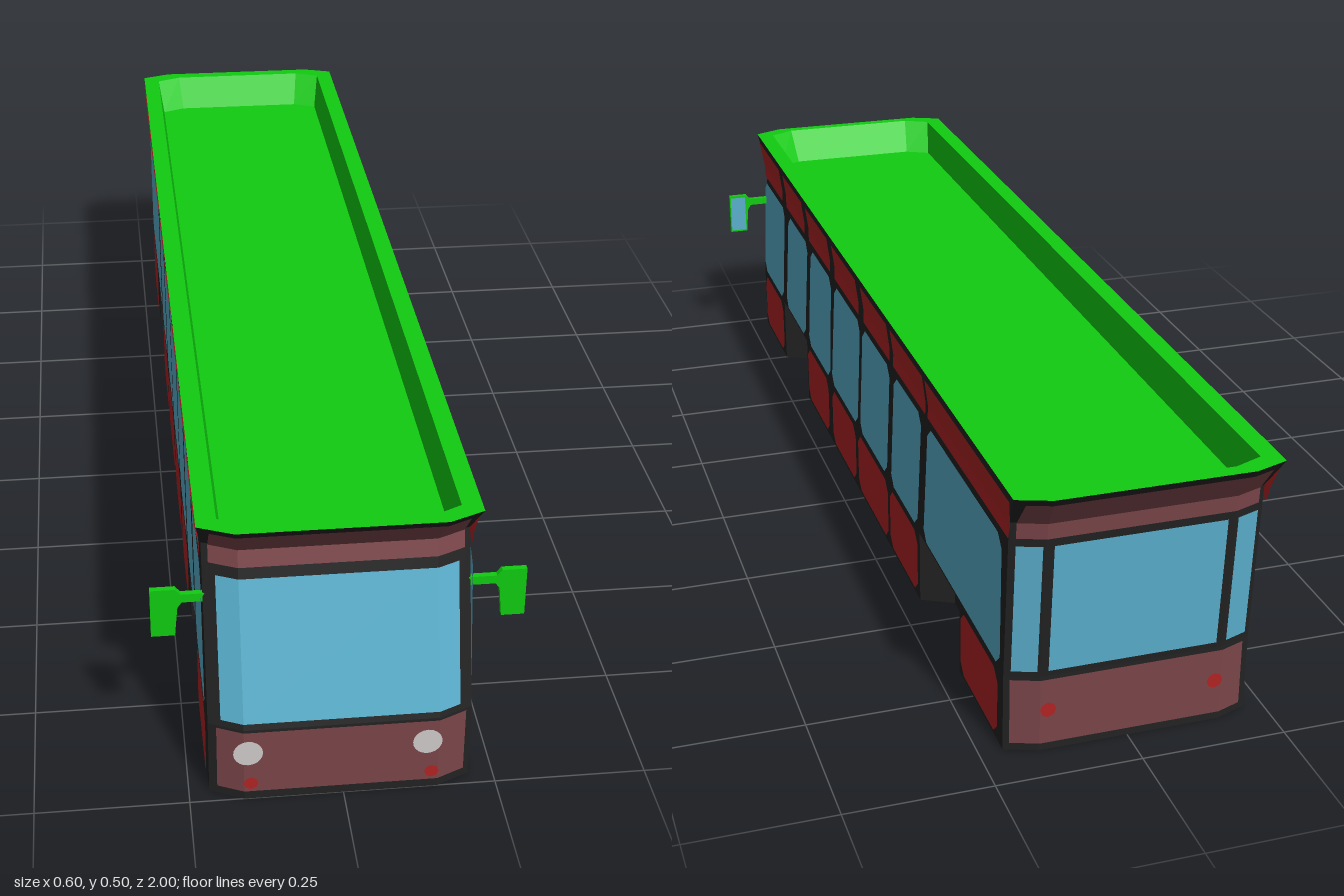
import * as THREE from 'three';

const CX = -0.004; // body sits very slightly off the mirror centre line
const LIFT = 0.003; // how far painted panels stand off the shell

function paint(name, color) {
  const m = new THREE.MeshStandardMaterial({ color, side: THREE.DoubleSide });
  m.name = name;
  return m;
}

// body profile: height, half width, front z, back z
const LEVELS = [
  [0, 0.213, 1, -0.93],
  [0.14, 0.213, 1, -0.93],
  [0.43, 0.213, 0.915, -0.95],
  [0.495, 0.223, 0.97, -1],
];
function profile(y) {
  let i = 0;
  while (i < 2 && y > LEVELS[i + 1][0]) i++;
  const a = LEVELS[i], b = LEVELS[i + 1], t = (y - a[0]) / (b[0] - a[0]);
  return a.map((v, k) => v + (b[k] - v) * t);
}

// eight-cornered plan with cut corners
function ring([y, w, f, b]) {
  const c = w * 0.74;
  return [[w, f - 0.025], [w, b + 0.02], [c, b], [-c, b], [-w, b + 0.02], [-w, f - 0.025], [-c, f], [c, f]]
    .map(([x, z]) => [x, y, z]);
}

function facets(points) {
  const g = new THREE.BufferGeometry();
  g.setAttribute('position', new THREE.Float32BufferAttribute(points.flat(), 3));
  g.computeVertexNormals();
  return g;
}

// flat-faced skin between successive rings
function loft(rings) {
  const p = [];
  for (let r = 0; r < rings.length - 1; r++) {
    const lo = rings[r], hi = rings[r + 1], n = lo.length;
    for (let i = 0; i < n; i++) {
      const j = (i + 1) % n;
      p.push(lo[i], lo[j], hi[j], lo[i], hi[j], hi[i]);
    }
  }
  return facets(p);
}
const centre = (y) => Array(8).fill([0, y, 0]);

// grid of quads carried onto a surface by a rule
function patch(us, vs, map) {
  const p = [];
  for (let i = 0; i < us.length - 1; i++) for (let j = 0; j < vs.length - 1; j++) {
    const a = map(us[i], vs[j]), b = map(us[i + 1], vs[j]);
    const c = map(us[i + 1], vs[j + 1]), d = map(us[i], vs[j + 1]);
    p.push(a, b, c, a, c, d);
  }
  return facets(p);
}

export function createModel() {
  const black = paint('black trim', 0x222222);
  const red = paint('side red', 0xb02424);
  const maroon = paint('end maroon', 0x7a4549);
  const blue = paint('window blue', 0x5ab0cd);
  const green = paint('roof green', 0x10cc10);
  const grey = paint('lamp grey', 0xd0caca);

  const model = new THREE.Group();
  model.name = 'bus';
  const body = new THREE.Group();
  body.name = 'body';
  body.position.x = CX;
  model.add(body);
  const add = (name, geo, mat, parent = body) => {
    const m = new THREE.Mesh(geo, mat);
    m.name = name;
    parent.add(m);
    return m;
  };

  // lower body with tapered wheel recesses cut into its plan
  const W = 0.213, IN = 0.155;
  const arches = [[0.75, 0.51], [-0.42, -0.67]];
  const edge = [[W, 0.975]];
  for (const [a, b] of arches) edge.push([W, a], [IN, a - 0.03], [IN, b + 0.03], [W, b]);
  edge.push([W, -0.91], [W * 0.74, -0.93]);
  const half = [[W * 0.74, 1], ...edge];
  const plan = [...half, ...half.map(([x, z]) => [-x, z]).reverse()];
  const lower = new THREE.ExtrudeGeometry(
    new THREE.Shape(plan.map(([x, z]) => new THREE.Vector2(x, -z))), { depth: 0.14, bevelEnabled: false });
  lower.rotateX(-Math.PI / 2);
  add('lowerBody', lower, black);

  // upper shell leaning in, then flaring out at the eaves
  add('upperBody', loft([centre(0.14), ...LEVELS.slice(1).map(ring)]), black);

  // sunken roof tray with a raised rim
  add('roofTray', loft([
    ring(LEVELS[3]), ring([0.495, 0.19, 0.95, -0.975]), ring([0.43, 0.18, 0.91, -0.94]), centre(0.43),
  ]), green);

  // side panels: [bottom front, bottom back, top front, top back] along z
  const windows = [
    [0.955, 0.745, 0.91, 0.69], [0.71, 0.51, 0.65, 0.455], [0.475, 0.27, 0.425, 0.235],
    [0.255, 0.03, 0.205, -0.01], [0.01, -0.2, -0.03, -0.235], [-0.23, -0.415, -0.265, -0.45],
    [-0.455, -0.9, -0.49, -0.905],
  ];
  const skirts = [[0.955, 0.755], [0.49, 0.29], [0.255, 0.05], [0.03, -0.205], [-0.22, -0.415], [-0.685, -0.89]];
  const eaves = [
    [0.9, 0.71], [0.67, 0.48], [0.44, 0.24], [0.2, 0], [-0.04, -0.235], [-0.26, -0.475], [-0.49, -0.935],
  ];

  // cut-cornered plate on a side wall
  function sidePlate(s, [b0, b1, t0, t1], y0, y1) {
    const c = 0.02, lean = (t0 - b0) * c / (y1 - y0), leanB = (t1 - b1) * c / (y1 - y0);
    const pts = [
      [b0 - c, y0], [b1 + c, y0], [b1 + leanB, y0 + c], [t1 - leanB, y1 - c],
      [t1 + c, y1], [t0 - c, y1], [t0 - lean, y1 - c], [b0 + lean, y0 + c],
    ];
    const g = new THREE.ShapeGeometry(new THREE.Shape(pts.map((p) => new THREE.Vector2(...p))));
    g.rotateY(-s * Math.PI / 2);
    if (s < 0) g.scale(1, 1, -1);
    // rotation sends the drawn axis to z on both sides
    const pos = g.attributes.position;
    for (let i = 0; i < pos.count; i++) pos.setXYZ(i, s * (W + LIFT), pos.getY(i), pos.getZ(i));
    const flat = g.toNonIndexed();
    flat.computeVertexNormals();
    if (s > 0) return flipped(flat);
    return flipped(flat);
  }
  // make triangles face away from the body centre
  function flipped(g) {
    const p = g.attributes.position, n = g.attributes.normal;
    if (n.getX(0) * p.getX(0) > 0) return g;
    for (let i = 0; i < p.count; i += 3) {
      const a = [p.getX(i), p.getY(i), p.getZ(i)];
      p.setXYZ(i, p.getX(i + 1), p.getY(i + 1), p.getZ(i + 1));
      p.setXYZ(i + 1, ...a);
    }
    g.computeVertexNormals();
    return g;
  }

  for (const s of [1, -1]) {
    windows.forEach((w) => add('sideWindow', sidePlate(s, w, 0.15, 0.39), blue));
    skirts.forEach(([a, b]) => add('skirtPanel', sidePlate(s, [a, b, a, b], 0.012, 0.135), red));
    eaves.forEach(([a, b], i) => {
      const grow = i === 6 ? -0.03 : 0;
      const wall = (u, y) => {
        const k = (y - 0.405) / 0.08;
        const z = u < 0.5 ? a + (i === 0 ? 0.02 : -0.01) * k : b + (grow || -0.01) * k;
        return [s * (profile(y)[1] + LIFT), y, z];
      };
      add('eavesPanel', patch(s > 0 ? [0, 1] : [1, 0], [0.405, 0.43, 0.483], wall), red);
    });
  }

  // end panels follow the cut corners of the front (e = 1) and back (e = -1)
  function endPanel(name, mat, e, x0, x1, ys) {
    const xs = [x0, ...[-0.1576, 0.1576].filter((x) => x > x0 && x < x1), x1];
    const map = (x, y) => {
      const [, w, f, b] = profile(y), fold = w * 0.74;
      const px = Math.abs(Math.abs(x) - 0.1576) < 1e-6 ? Math.sign(x) * fold : x;
      const k = Math.max(0, Math.abs(px) - fold) / (w - fold);
      return [px, y, e > 0 ? f - 0.025 * k + LIFT * (y > 0.135 ? 1 : 0.1) : b + 0.02 * k - LIFT];
    };
    add(name, patch(e > 0 ? xs : xs.reverse(), ys, map), mat);
  }
  endPanel('windscreen', blue, 1, -0.193, 0.193, [0.152, 0.384]);
  endPanel('rearWindow', blue, -1, -0.145, 0.145, [0.152, 0.388]);
  endPanel('rearCornerWindow', blue, -1, 0.163, 0.203, [0.152, 0.388]);
  endPanel('rearCornerWindow', blue, -1, -0.203, -0.163, [0.152, 0.388]);
  for (const e of [1, -1]) {
    endPanel('endLowerPanel', maroon, e, -0.2, 0.204, [0.015, 0.135]);
    endPanel('endEavesPanel', maroon, e, -0.203, 0.203, [0.402, 0.43, 0.482]);
  }

  // lamps
  for (const s of [1, -1]) {
    add('headlight', new THREE.CircleGeometry(0.024, 20), grey).position.set(s * 0.145 - 0.006, 0.095, 1.002);
    add('fogLight', new THREE.CircleGeometry(0.012, 8), red).position.set(s * 0.147, 0.033, 1.002);
    const tail = add('tailLight', new THREE.CircleGeometry(0.014, 8), red);
    tail.position.set(s * 0.145, 0.08, -0.936);
    tail.rotation.y = Math.PI;
  }

  // door mirrors: arm and housing in one outline, glass facing back
  const arm = [
    [0.2, 0.335], [0.25, 0.335], [0.257, 0.325], [0.262, 0.272], [0.3, 0.272],
    [0.3, 0.36], [0.26, 0.36], [0.252, 0.35], [0.2, 0.35],
  ];
  for (const s of [1, -1]) {
    const shape = new THREE.Shape(arm.map(([x, y]) => new THREE.Vector2(s * x, y)));
    add('mirror', new THREE.ExtrudeGeometry(shape, { depth: 0.01, bevelEnabled: false }), green, model)
      .position.z = 0.905;
    const glass = add('mirrorGlass', new THREE.PlaneGeometry(0.034, 0.08), blue, model);
    glass.position.set(s * 0.281, 0.316, 0.903);
    glass.rotation.y = Math.PI;
  }
  return model;
}
